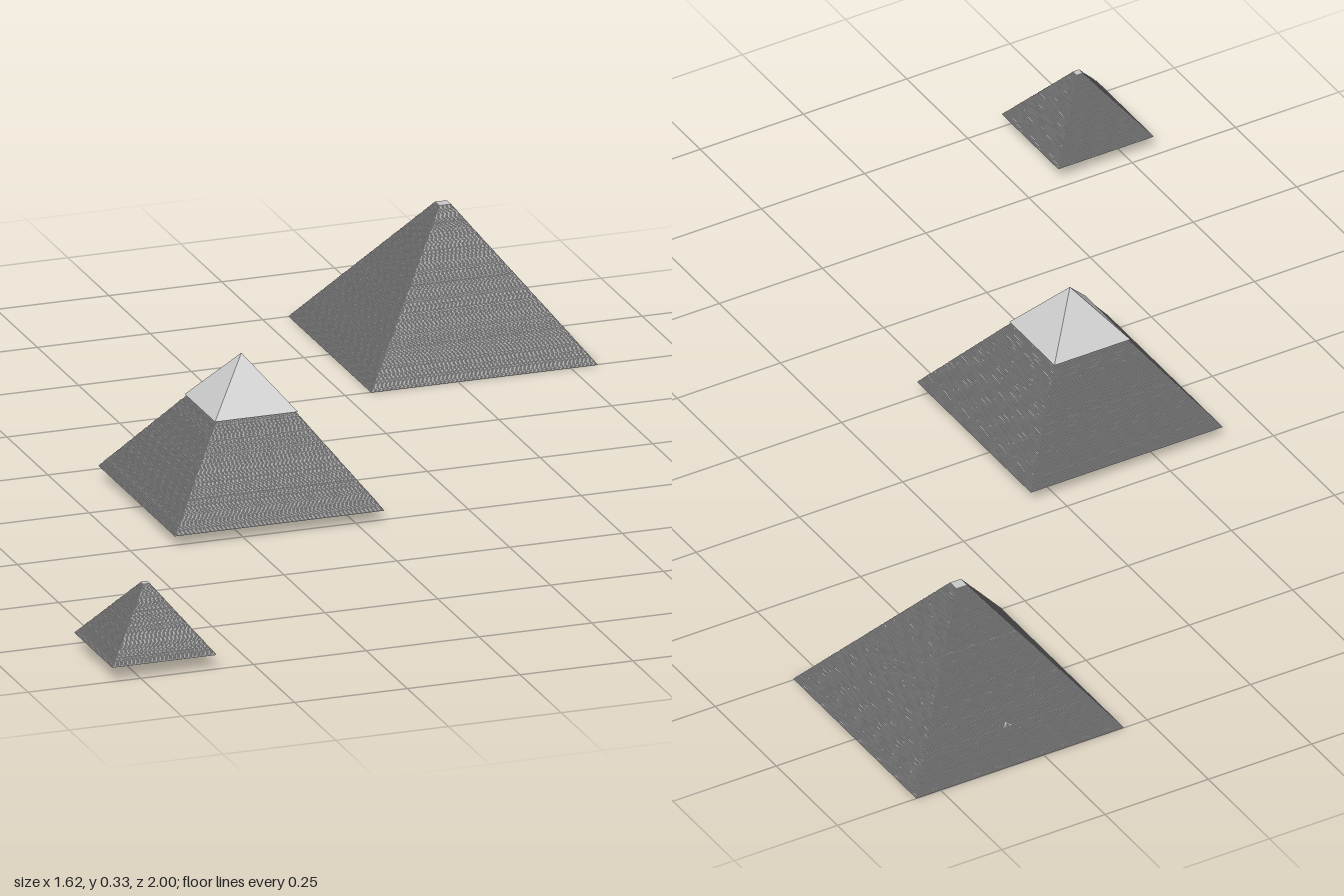
import * as THREE from 'three';

const stone = new THREE.MeshStandardMaterial({ color: 0xcccccc });
stone.name = 'pale grey stone';

// Small seeded generator for uneven course heights
function seeded(seed) {
  let s = seed;
  return () => (s = (s * 16807) % 2147483647) / 2147483647;
}

// Square lathe: each profile point is [half width, y]
function squareLathe(profile) {
  const pts = profile.map(([half, y]) => new THREE.Vector2(half * Math.SQRT2, y));
  const geo = new THREE.LatheGeometry(pts, 4, Math.PI / 4).toNonIndexed();
  geo.computeVertexNormals();
  return geo;
}

// Stepped pyramid body made of thin stone courses
function steppedBody(baseHalf, topHalf, height, courses, seed) {
  const rand = seeded(seed);
  const heights = Array.from({ length: courses }, () => 0.6 + 0.8 * rand());
  const total = heights.reduce((a, b) => a + b, 0);
  const profile = [[0, 0]];
  let y = 0;
  for (const h of heights) {
    const half = THREE.MathUtils.lerp(baseHalf, topHalf, y / height);
    profile.push([half, y]);
    y += (h / total) * height;
    profile.push([half, y]);
  }
  profile.push([0, height]);
  return squareLathe(profile);
}

function addMesh(parent, name, geometry) {
  const mesh = new THREE.Mesh(geometry, stone);
  mesh.name = name;
  parent.add(mesh);
  return mesh;
}

function addPyramid(parent, name, position, body) {
  const group = new THREE.Group();
  group.name = name;
  group.position.set(...position);
  addMesh(group, 'steppedCourses', steppedBody(...body));
  parent.add(group);
  return group;
}

export function createModel() {
  const model = new THREE.Group();
  model.name = 'pyramidField';

  // Large pyramid, with a flat summit
  const large = addPyramid(model, 'largePyramid', [0.558, 0, -0.749], [0.251, 0.012, 0.305, 180, 11]);

  // Gabled entrance blocks on the back face
  for (const side of [-1, 1]) {
    const slab = addMesh(large, 'entranceGable', new THREE.BoxGeometry(0.018, 0.004, 0.012));
    slab.position.set(side * 0.007, 0.066, -0.196);
    slab.rotation.z = -side * 0.7;
  }

  // Middle pyramid, with smooth casing left at the summit
  const middle = addPyramid(model, 'middlePyramid', [-0.174, 0.025, 0.032], [0.232, 0.082, 0.195, 100, 23]);
  addMesh(middle, 'smoothCap', squareLathe([[0, 0.189], [0.092, 0.189], [0, 0.3]]));

  // Small pyramid
  addPyramid(model, 'smallPyramid', [-0.698, 0.031, 0.885], [0.115, 0.006, 0.136, 75, 37]);

  return model;
}
